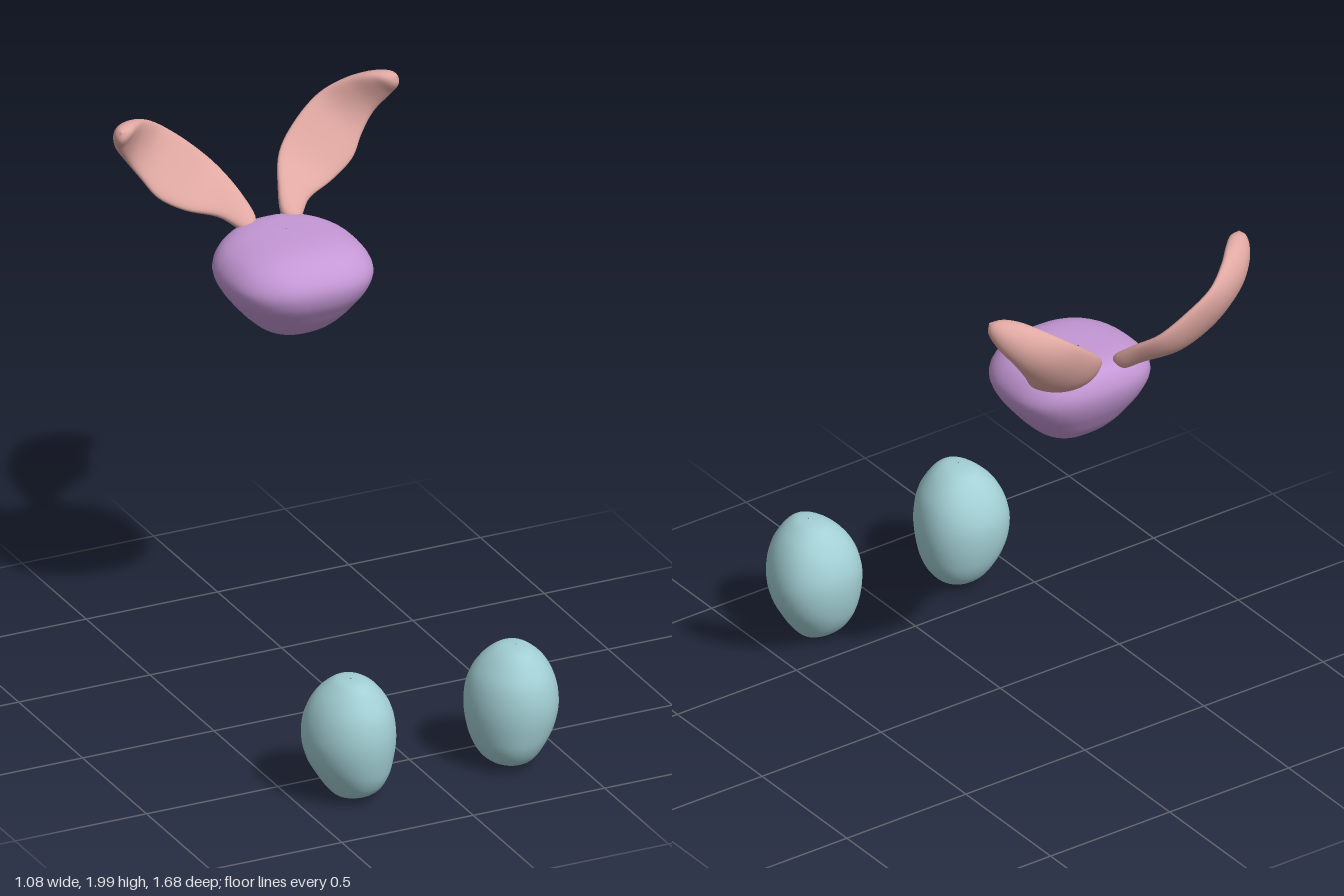
import * as THREE from 'three';

const SIDES = 40;
const V = (x, y, z) => new THREE.Vector3(x, y, z);
const material = (color) => new THREE.MeshStandardMaterial({ color, roughness: 0.8 });

// Smooth closed skin through a stack of rings; each ring is SIDES points.
function loft(rings, steps, mirrored) {
  const pos = [], idx = [];
  for (let j = 0; j < SIDES; j++) {
    const curve = new THREE.CatmullRomCurve3(rings.map((r) => r[j]), false, 'centripetal');
    for (let i = 0; i <= steps; i++) {
      const p = curve.getPoint(i / steps);
      pos.push(mirrored ? -p.x : p.x, p.y, p.z);
    }
  }
  const row = steps + 1;
  for (let j = 0; j < SIDES; j++) {
    const k = (j + 1) % SIDES;
    for (let i = 0; i < steps; i++) {
      const a = j * row + i, b = k * row + i;
      const tris = [[a, a + 1, b], [b, a + 1, b + 1]];
      for (const t of tris) idx.push(...(mirrored ? t.reverse() : t));
    }
  }
  const g = new THREE.BufferGeometry();
  g.setAttribute('position', new THREE.Float32BufferAttribute(pos, 3));
  g.setIndex(idx);
  g.computeVertexNormals();
  return g;
}

// Horizontal ring of a rounded body; power > 2 squares it, taper narrows its front.
function bodyRing([y, x0, x1, z0, z1], power, taper) {
  const round = (v) => Math.sign(v) * Math.abs(v) ** (2 / power);
  return Array.from({ length: SIDES }, (_, j) => {
    const a = (j / SIDES) * Math.PI * 2;
    const c = round(Math.cos(a)), s = round(Math.sin(a));
    return V((x0 + x1) / 2 + ((x1 - x0) / 2) * c * (1 - taper * s), y,
      (z0 + z1) / 2 + ((z1 - z0) / 2) * s);
  });
}

// Ear sections: inner edge, outer edge, half thickness.
const EAR = [
  [V(0.05, 1.59, -0.6), V(0.1, 1.565, -0.57), 0.025],
  [V(0.07, 1.66, -0.67), V(0.17, 1.605, -0.635), 0.03],
  [V(0.12, 1.74, -0.765), V(0.28, 1.635, -0.68), 0.032],
  [V(0.2, 1.82, -0.81), V(0.37, 1.69, -0.705), 0.032],
  [V(0.3, 1.9, -0.825), V(0.42, 1.76, -0.735), 0.03],
  [V(0.38, 1.955, -0.785), V(0.47, 1.83, -0.745), 0.034],
  [V(0.44, 1.985, -0.73), V(0.52, 1.9, -0.715), 0.034],
  [V(0.485, 1.99, -0.69), V(0.535, 1.95, -0.68), 0.025],
];

function earRings() {
  const mids = EAR.map(([a, b]) => a.clone().lerp(b, 0.5));
  const rings = EAR.map(([a, b, thick], i) => {
    const along = mids[Math.min(i + 1, EAR.length - 1)].clone().sub(mids[Math.max(i - 1, 0)]);
    const half = b.clone().sub(a).multiplyScalar(0.5);
    const face = half.clone().cross(along).normalize();
    return Array.from({ length: SIDES }, (_, j) => {
      const t = (j / SIDES) * Math.PI * 2;
      const c = Math.cos(t);
      // The middle sinks back so the front of the ear is cupped
      const depth = thick * Math.sin(t) - 0.3 * half.length() * 0.5 * (1 - c * c);
      return mids[i].clone().addScaledVector(half, c).addScaledVector(face, depth);
    });
  });
  const cap = (x, y, z) => Array.from({ length: SIDES }, () => V(x, y, z));
  return [cap(0.07, 1.565, -0.575), ...rings, cap(0.525, 1.982, -0.672)];
}

// Head: y, half width, back z, front z
const HEAD = [
  [1.25, 0.002, -0.412, -0.408], [1.257, 0.07, -0.48, -0.34], [1.28, 0.125, -0.52, -0.295],
  [1.32, 0.172, -0.56, -0.25], [1.37, 0.215, -0.595, -0.21], [1.42, 0.25, -0.625, -0.175],
  [1.47, 0.268, -0.645, -0.16], [1.51, 0.258, -0.65, -0.168], [1.55, 0.225, -0.64, -0.2],
  [1.58, 0.165, -0.62, -0.25], [1.595, 0.09, -0.585, -0.32], [1.6, 0.002, -0.462, -0.458],
];

// Foot: y, inner x, outer x, back z, front z
const FOOT = [
  [0, 0.303, 0.307, 0.668, 0.672], [0.01, 0.25, 0.355, 0.62, 0.72],
  [0.04, 0.205, 0.387, 0.575, 0.775], [0.09, 0.175, 0.42, 0.54, 0.81],
  [0.15, 0.158, 0.452, 0.518, 0.83], [0.22, 0.15, 0.468, 0.506, 0.843],
  [0.28, 0.154, 0.465, 0.507, 0.843], [0.34, 0.17, 0.448, 0.525, 0.83],
  [0.39, 0.2, 0.42, 0.555, 0.803], [0.425, 0.235, 0.385, 0.59, 0.775],
  [0.443, 0.268, 0.357, 0.62, 0.745], [0.45, 0.313, 0.317, 0.688, 0.692],
];

export function createModel() {
  const group = new THREE.Group();
  const add = (name, geometry, mat) => {
    const mesh = new THREE.Mesh(geometry, mat);
    mesh.name = name;
    group.add(mesh);
  };
  const pink = material(0xe0a8a2), purple = material(0xc598d6), teal = material(0xa3d0d5);

  const headRings = HEAD.map(([y, w, z0, z1]) => bodyRing([y, -w, w, z0, z1], 2.5, 0.03));
  add('head', loft(headRings, 44, false), purple);

  // Paired parts
  const ear = earRings();
  const foot = FOOT.map((r) => bodyRing(r, 2.1, 0.1));
  for (const side of ['left', 'right']) {
    const mirrored = side === 'right';
    add(side + 'Ear', loft(ear, 48, mirrored), pink);
    add(side + 'Foot', loft(foot, 44, mirrored), teal);
  }
  return group;
}
